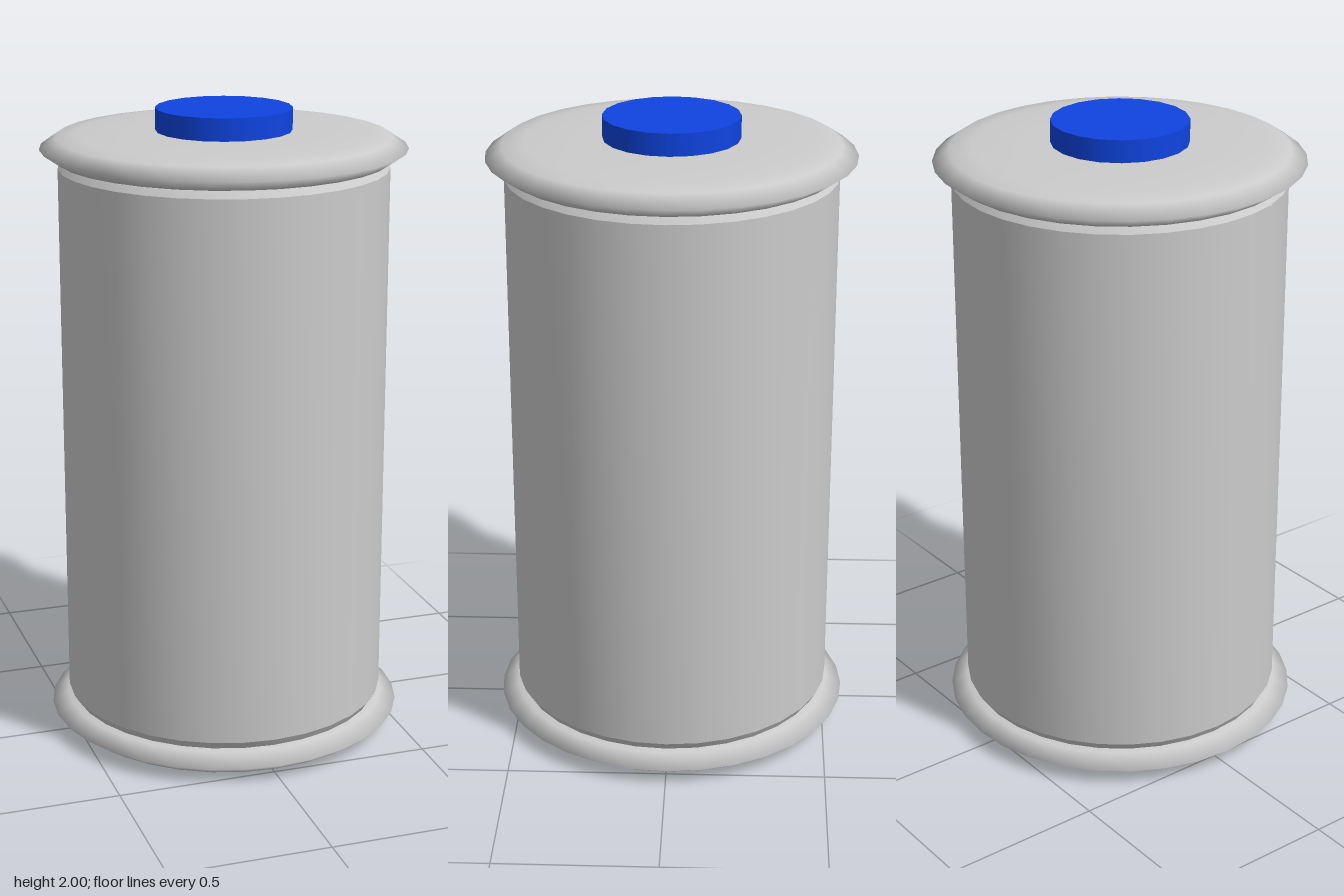
import * as THREE from 'three';
import { toCreasedNormals } from 'three/addons/utils/BufferGeometryUtils.js';

const grey = new THREE.MeshStandardMaterial({ color: 0xcccccc });
const blue = new THREE.MeshStandardMaterial({ color: 0x0f44e0 });

// Revolve a [radius, height] profile, listed from bottom to top
function lathe(profile, sides) {
  return new THREE.LatheGeometry(profile.map(([r, y]) => new THREE.Vector2(r, y)), sides);
}

function part(name, geometry, material, y = 0) {
  const mesh = new THREE.Mesh(geometry, material);
  mesh.name = name;
  mesh.position.y = y;
  return mesh;
}

export function createModel() {
  const group = new THREE.Group();
  group.name = 'canister';

  // Cylinder body with small chamfers at both ends
  const body = lathe([
    [0, 0.09], [0.495, 0.09], [0.51, 0.115], [0.51, 1.82], [0.495, 1.84], [0, 1.84],
  ], 32);
  group.add(part('body', toCreasedNormals(body, 0.5), grey));

  // Slightly domed end discs with a pointed, softly shaded rim
  const disc = lathe([
    [0, -0.052], [0.3, -0.05], [0.45, -0.044], [0.515, -0.034], [0.565, 0],
    [0.515, 0.034], [0.45, 0.04], [0.3, 0.044], [0, 0.044],
  ], 32);
  group.add(part('bottomDisc', disc, grey, 0.052));
  const topDisc = part('topDisc', disc, grey, 1.88);
  topDisc.rotation.x = Math.PI;
  group.add(topDisc);

  // Button on top
  group.add(part('button', new THREE.CylinderGeometry(0.21, 0.21, 0.1, 20), blue, 1.95));

  return group;
}
